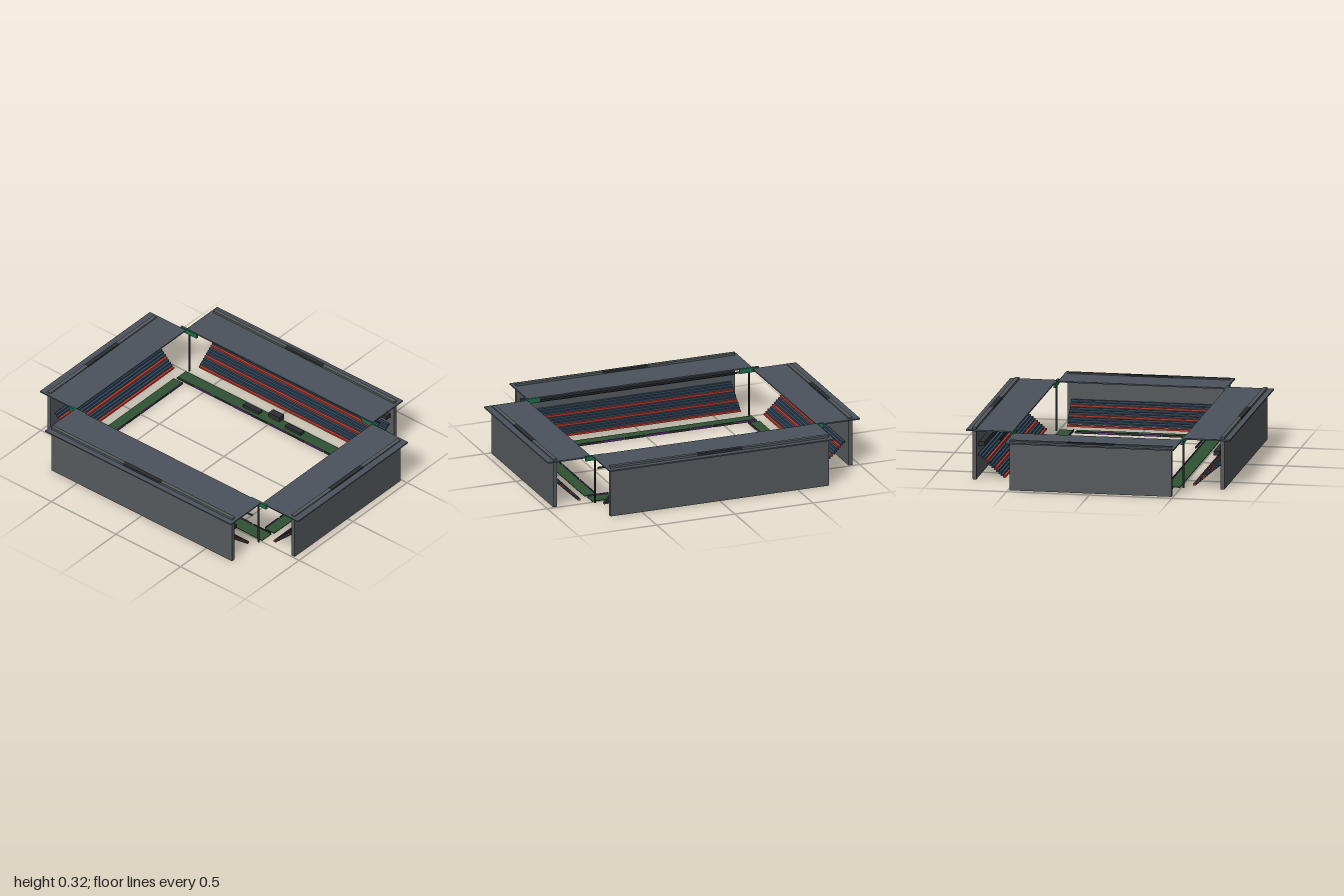
import * as THREE from 'three';

const mat = (color) => new THREE.MeshStandardMaterial({ color });
const M = {
  roof: mat(0x4a525c), wall: mat(0x55595c), dark: mat(0x2b2e32), grass: mat(0x2f5233),
  seat: mat(0x34495e), red: mat(0xc0392b), light: mat(0x1f6b4a), purple: mat(0x5b2c7a),
};

// Box given by its centre x/z, its bottom and top heights, and its plan size
function box(parent, name, material, [w, d], [y0, y1], x = 0, z = 0) {
  const mesh = new THREE.Mesh(new THREE.BoxGeometry(w, y1 - y0, d), material);
  mesh.position.set(x, (y0 + y1) / 2, z);
  mesh.name = name;
  parent.add(mesh);
  return mesh;
}

// One grandstand, built facing the pitch with its back towards +z
function createStand(o) {
  const stand = new THREE.Group();
  box(stand, 'roof', M.roof, [o.roofWidth, o.roofOut - o.roofIn], [o.roofY - 0.004, o.roofY + 0.004],
    0, (o.roofOut + o.roofIn) / 2);
  box(stand, 'backWall', M.wall, [o.wallWidth, 0.024], [0, o.wallTop], 0, o.wallZ);
  box(stand, 'wallCap', M.dark, [0.29, 0.027], [o.wallTop - 0.012, o.wallTop + 0.001], 0, o.wallZ);

  // Stepped seating rows, every fourth one red
  for (let i = 0; i < o.rows; i++) {
    const t = i / (o.rows - 1);
    const y = 0.01 + t * 0.126;
    box(stand, 'seatRow', i % 4 === 0 ? M.red : M.seat, [o.seatWidth, 0.016], [y, y + 0.011],
      0, THREE.MathUtils.lerp(o.seatIn, o.seatOut, t));
  }

  // Hanging gallery and light rail under the long roofs
  if (o.gallery) {
    box(stand, 'gallery', M.dark, [1.36, 0.036], [0.2, 0.226], 0, 0.71);
    box(stand, 'lightRail', M.dark, [1.43, 0.008], [0.246, 0.256], 0, 0.592);
  }

  // Grass verge with a row of boards along its inner edge
  const { vergeWidth: vw, vergeIn: vi, vergeOut: vo } = o;
  box(stand, 'verge', M.grass, [vw, vo - vi], [0.001, 0.006], 0, (vi + vo) / 2);
  const pitch = vw / o.boards;
  for (let i = 0; i < o.boards; i++) {
    box(stand, 'edgeBoard', i % 2 ? M.dark : M.purple, [pitch - 0.012, 0.004], [0, 0.014],
      (i + 0.5) * pitch - vw / 2, vi);
  }
  return stand;
}

const LONG = {
  roofWidth: 1.44, roofIn: 0.515, roofOut: 0.797, roofY: 0.301, wallWidth: 1.4, wallTop: 0.318, wallZ: 0.75,
  rows: 12, seatWidth: 1.34, seatIn: 0.575, seatOut: 0.724, gallery: true,
  vergeWidth: 1.42, vergeIn: 0.41, vergeOut: 0.495, boards: 10,
};
const SHORT = {
  roofWidth: 1.02, roofIn: 0.722, roofOut: 1.0, roofY: 0.293, wallWidth: 0.98, wallTop: 0.304, wallZ: 0.946,
  rows: 11, seatWidth: 0.93, seatIn: 0.782, seatOut: 0.914,
  vergeWidth: 0.79, vergeIn: 0.647, vergeOut: 0.72, boards: 6,
};

export function createModel() {
  const model = new THREE.Group();
  model.name = 'stadium';

  // Four stands around the open pitch
  const sides = [['frontStand', LONG], ['leftStand', SHORT], ['backStand', LONG], ['rightStand', SHORT]];
  sides.forEach(([name, options], i) => {
    const stand = createStand(options);
    stand.name = name;
    stand.rotation.y = (i * Math.PI) / 2;
    model.add(stand);
  });

  // Corner floodlight masts
  for (const sx of [-1, 1]) {
    for (const sz of [-1, 1]) {
      const tower = new THREE.Group();
      tower.name = 'floodlight';
      const mast = new THREE.Mesh(new THREE.CylinderGeometry(0.006, 0.006, 0.28, 8), M.dark);
      mast.name = 'mast';
      mast.position.y = 0.14;
      tower.add(mast);
      box(tower, 'lampPanel', M.light, [0.124, 0.014], [0.274, 0.304]);
      tower.position.set(sx * 0.7, 0, sz * 0.515);
      model.add(tower);
    }
  }

  // Players' tunnel and two dugouts on the back verge
  box(model, 'tunnel', M.dark, [0.084, 0.045], [0, 0.036], -0.003, -0.488);
  for (const s of [-1, 1]) box(model, 'dugout', M.dark, [0.12, 0.034], [0, 0.024], s * 0.162, -0.459);

  return model;
}
